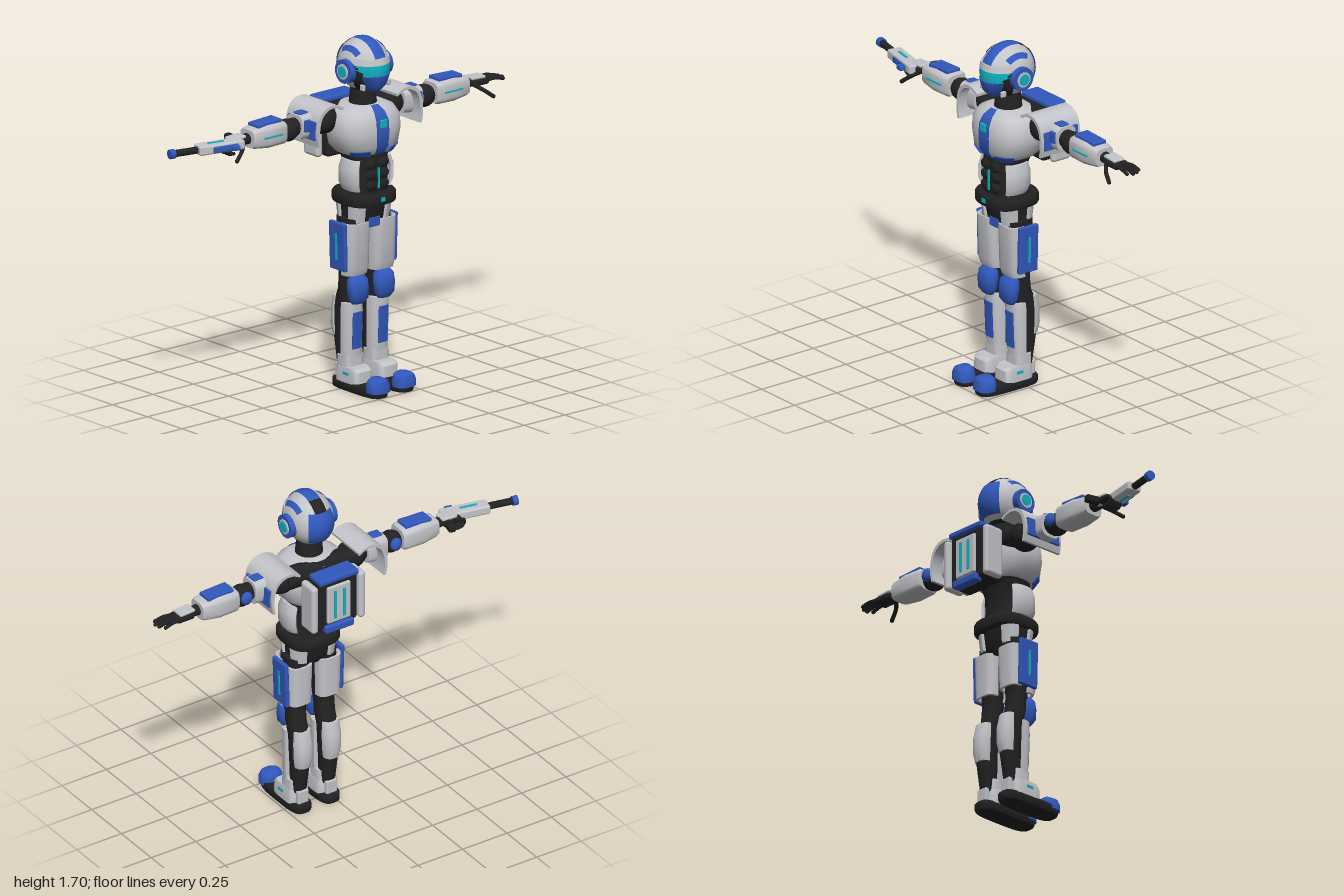
import * as THREE from 'three';
import { toCreasedNormals } from 'three/addons/utils/BufferGeometryUtils.js';
import { RoundedBoxGeometry } from 'three/addons/geometries/RoundedBoxGeometry.js';

const mat = (name, color) => new THREE.MeshStandardMaterial({ name, color, side: THREE.DoubleSide });
const WHITE = mat('armour white', 0xc4c5ca), BLUE = mat('armour blue', 0x3158bd);
const BLACK = mat('suit black', 0x222222), CYAN = mat('glow cyan', 0x0fb5c0);
const D = Math.PI / 180;

function add(parent, name, geo, material, x = 0, y = 0, z = 0) {
  const m = new THREE.Mesh(geo, material);
  m.name = name;
  m.position.set(x, y, z);
  parent.add(m);
  return m;
}
const box = (w, h, d, r = 0.006) => new RoundedBoxGeometry(w, h, d, 2, Math.min(r, w / 2.1, h / 2.1, d / 2.1));
const plate = (w, h, d) => new THREE.BoxGeometry(w, h, d);
const rod = (r, len, r2 = r) => new THREE.CylinderGeometry(r, r2, len, 24).rotateZ(Math.PI / 2);
const ball = (x, y, z) => new THREE.SphereGeometry(1, 24, 16).scale(x, y, z);

// Loft through superellipse sections [y, rx, rz, cz], bottom to top.
// With from/to (degrees, 0 = front, 90 = +x) it becomes an armour shell of thickness t.
function loft(secs, { e = 2.5, from = null, to = null, t = 0.012, grow = 0, n = 32 } = {}) {
  const pt = (s, a, d) => {
    const f = (v) => Math.sign(v) * Math.abs(v) ** (2 / e);
    return [(s[1] + d) * f(Math.sin(a)), s[0], (s[2] + d) * f(Math.cos(a)) + (s[3] || 0)];
  };
  const rings = secs.map((s) => {
    const r = [];
    if (from === null) for (let i = 0; i < n; i++) r.push(pt(s, (i / n) * 2 * Math.PI, grow));
    else {
      const m = 16, ang = (i) => (from + ((to - from) * i) / m) * D;
      for (let i = 0; i <= m; i++) r.push(pt(s, ang(i), grow));
      for (let i = m; i >= 0; i--) r.push(pt(s, ang(i), grow - t));
    }
    return r;
  });
  const pos = [], L = rings[0].length;
  const quad = (a, b, c, d) => pos.push(...a, ...b, ...c, ...a, ...c, ...d);
  for (let j = 0; j < rings.length - 1; j++)
    for (let i = 0; i < L; i++) {
      const k = (i + 1) % L;
      quad(rings[j][i], rings[j][k], rings[j + 1][k], rings[j + 1][i]);
    }
  const b = rings[0], u = rings[rings.length - 1];
  for (let i = 0; i < L / 2 - 1; i++) {
    quad(u[i], u[i + 1], u[L - 2 - i], u[L - 1 - i]);
    quad(b[L - 1 - i], b[L - 2 - i], b[i + 1], b[i]);
  }
  const g = new THREE.BufferGeometry();
  g.setAttribute('position', new THREE.Float32BufferAttribute(pos, 3));
  return toCreasedNormals(g, 0.7);
}
// The same loft laid along +x
const loftX = (secs, o) => loft(secs, o).rotateZ(-Math.PI / 2);

// Patches of the helmet ellipsoid: around the y axis, or around the x axis
const HR = [0.113, 0.13, 0.135];
const helmetPatch = (k, a0, a1, y0, y1) => {
  const t0 = Math.acos(y1), t1 = Math.acos(y0);
  return new THREE.SphereGeometry(k, 24, 10, Math.PI / 2 + a0 * D, (a1 - a0) * D, t0, t1 - t0).scale(...HR);
};
const helmetBand = (k, a0, a1, t0, t1) =>
  new THREE.SphereGeometry(k, 24, 6, Math.PI / 2 + a0 * D, (a1 - a0) * D, t0 * D, (t1 - t0) * D)
    .rotateZ(Math.PI / 2).scale(...HR);

function buildHead(g) {
  const h = new THREE.Group();
  h.name = 'head';
  h.position.set(0, 1.57, 0.015);
  g.add(h);
  add(h, 'helmet', new THREE.SphereGeometry(1, 40, 28).scale(...HR), WHITE);
  add(h, 'face', helmetPatch(1.012, -72, 72, -1, 0.22), BLACK);
  add(h, 'underside', helmetPatch(1.01, 0, 360, -1, -0.78), BLACK);
  add(h, 'brow', loft([[0.022, 0.114, 0.139], [0.052, 0.108, 0.132]], { e: 2, from: -68, to: 68 }), WHITE);
  add(h, 'visor', loft([[-0.03, 0.108, 0.138], [0, 0.113, 0.142], [0.022, 0.112, 0.139]], { e: 2, from: -64, to: 64 }), CYAN);
  add(h, 'chinGuard', loft([[-0.112, 0.045, 0.105], [-0.08, 0.08, 0.135], [-0.032, 0.11, 0.144]], { e: 2, from: -52, to: 52 }), BLUE);
  add(h, 'crest', helmetBand(1.03, 24, 112, 74, 106), BLUE);
  add(h, 'crestRear', helmetBand(1.02, 112, 150, 74, 106), BLACK);
  add(h, 'backPlate', helmetPatch(1.045, 142, 218, -0.62, 0.58), BLUE);
  for (const s of [-1, 1]) {
    add(h, 'templeArc', helmetBand(1.03, 50, 125, s < 0 ? 36 : 130, s < 0 ? 50 : 144), BLUE);
    add(h, 'earPod', rod(0.058, 0.045), BLUE, s * 0.108, -0.014, 0.005);
    add(h, 'earRing', rod(0.037, 0.02), WHITE, s * 0.126, -0.014, 0.005);
    add(h, 'earLight', rod(0.027, 0.02), CYAN, s * 0.13, -0.014, 0.005);
    add(h, 'cheek', box(0.015, 0.03, 0.03), WHITE, s * 0.078, -0.085, 0.085);
  }
  add(g, 'neck', new THREE.CylinderGeometry(0.058, 0.07, 0.12, 24), BLACK, 0, 1.41, 0.01);
}

function buildTorso(g) {
  const chest = [[1.155, 0.13, 0.115, 0.01], [1.19, 0.165, 0.136, 0.013], [1.26, 0.18, 0.142, 0.012],
    [1.32, 0.176, 0.14, 0.01], [1.36, 0.15, 0.122, 0.006], [1.385, 0.1, 0.09, 0.004]];
  add(g, 'chest', loft(chest, { n: 48 }), WHITE);
  add(g, 'chestStripe', loft(chest, { from: -7.5, to: 7.5, grow: 0.006 }), BLUE);
  add(g, 'chestLight', box(0.04, 0.04, 0.012, 0.003), CYAN, 0, 1.307, 0.158);
  for (const s of [-1, 1])
    add(g, 'chestTrim', loft([[1.15, 0.135, 0.118, 0.01], [1.178, 0.157, 0.132, 0.013]],
      { from: s > 0 ? 18 : -62, to: s > 0 ? 62 : -18, grow: 0.006 }), BLUE);
  add(g, 'shoulderYoke', rod(0.055, 0.4), BLACK, 0, 1.33, -0.07);
  add(g, 'abdomen', loft([[0.94, 0.11, 0.095, 0.02], [1.02, 0.1, 0.095, 0.028], [1.1, 0.098, 0.095, 0.025], [1.17, 0.12, 0.105, 0.01]]), BLACK);
  for (const s of [-1, 1]) {
    for (let i = 0; i < 3; i++) add(g, 'abdominalPad', ball(0.032, 0.025, 0.014), BLACK, s * 0.037, 1.0 + i * 0.052, 0.115);
    add(g, 'waistPlate', loft([[0.975, 0.118, 0.09, 0.033], [1.01, 0.134, 0.1, 0.033], [1.08, 0.134, 0.1, 0.033], [1.125, 0.118, 0.09, 0.033]],
      { from: s * 90 - 42, to: s * 90 + 42 }), WHITE);
    // Hip armour, front and rear
    const hip = [[0.82, 0.122, 0.088, 0.015], [0.905, 0.13, 0.1, 0.017]];
    for (const c of [50, 130]) add(g, 'hipPlate', loft(hip, { e: 3, from: s * c - 28, to: s * c + 28 }), WHITE);
  }
  add(g, 'abdomenLight', plate(0.008, 0.1, 0.008), CYAN, 0, 1.035, 0.126);
  add(g, 'belt', loft([[0.905, 0.132, 0.128, 0.018], [0.915, 0.137, 0.132, 0.018], [0.95, 0.137, 0.132, 0.018], [0.962, 0.13, 0.126, 0.018]], { e: 3 }), BLACK);
  add(g, 'buckle', box(0.06, 0.04, 0.015), BLACK, 0, 0.937, 0.148);
  add(g, 'buckleLight', plate(0.026, 0.02, 0.008), CYAN, 0, 0.937, 0.155);
  add(g, 'pelvis', loft([[0.79, 0.06, 0.06, 0.015], [0.83, 0.11, 0.08, 0.015], [0.91, 0.115, 0.09, 0.015]]), BLACK);
  add(g, 'groinPlate', box(0.07, 0.05, 0.03), BLUE, 0, 0.815, 0.082);
}

function buildBackpack(g) {
  const p = new THREE.Group();
  p.name = 'backpack';
  p.position.set(0, 1.23, 0);
  g.add(p);
  add(p, 'packCore', box(0.22, 0.26, 0.125, 0.015), BLACK, 0, 0, -0.173);
  add(p, 'packPanel', box(0.13, 0.2, 0.02, 0.008), WHITE, 0, 0, -0.238);
  add(p, 'packTop', box(0.22, 0.03, 0.1, 0.01), BLUE, 0, 0.135, -0.2);
  add(p, 'packBottom', box(0.16, 0.04, 0.048, 0.01), BLUE, 0, -0.128, -0.232);
  for (const s of [-1, 1]) {
    add(p, 'packPod', box(0.038, 0.255, 0.108, 0.018), WHITE, s * 0.132, -0.005, -0.194);
    add(p, 'packLight', plate(0.014, 0.15, 0.008), CYAN, s * 0.025, 0, -0.25);
  }
}

function buildLeg(side) {
  const g = new THREE.Group();
  g.name = 'leg';
  const l = (name, m, secs, o) => add(g, name, loft(secs, o), m, 0.08);
  l('thigh', BLACK, [[0.54, 0.048, 0.046, 0.008], [0.7, 0.055, 0.06, 0.015], [0.84, 0.056, 0.07, 0.015]]);
  l('thighFrontPlate', WHITE, [[0.565, 0.066, 0.07, 0.012], [0.6, 0.069, 0.08, 0.014], [0.82, 0.07, 0.088, 0.014]], { e: 3.5, from: -88, to: 88 });
  l('thighBackPlate', WHITE, [[0.59, 0.062, 0.075, 0.01], [0.8, 0.066, 0.083, 0.012]], { e: 3.5, from: 98, to: 262 });
  add(g, 'thighSidePlate', box(0.022, 0.235, 0.11), BLUE, 0.154, 0.707, 0.014).rotation.z = -0.03;
  add(g, 'thighLight', plate(0.006, 0.13, 0.012), CYAN, 0.166, 0.705, 0.013).rotation.z = -0.03;
  l('kneeGuard', BLUE, [[0.425, 0.035, 0.018, 0.068], [0.45, 0.052, 0.034, 0.07], [0.5, 0.056, 0.038, 0.068], [0.54, 0.052, 0.036, 0.064], [0.56, 0.036, 0.02, 0.06]]);
  l('lowerLeg', BLACK, [[0.1, 0.036, 0.035, -0.02], [0.25, 0.042, 0.05, -0.03], [0.4, 0.045, 0.055, -0.025], [0.48, 0.048, 0.045, 0], [0.57, 0.047, 0.045, 0.008]]);
  const shin = [[0.16, 0.052, 0.055, 0], [0.2, 0.054, 0.058, 0], [0.38, 0.055, 0.066, 0], [0.425, 0.052, 0.066, 0]];
  l('shinPlate', WHITE, shin, { e: 3, from: -88, to: 88, t: 0.018 });
  l('shinStripe', BLUE, shin.slice(1, 3), { e: 3, from: -20, to: 20, grow: 0.005, t: 0.009 });
  l('calfPlate', WHITE, [[0.25, 0.042, 0.058, -0.03], [0.3, 0.05, 0.07, -0.03], [0.38, 0.052, 0.066, -0.03], [0.445, 0.046, 0.05, -0.03]], { from: 105, to: 255 });
  l('ankleCuff', WHITE, [[0.09, 0.052, 0.046, 0.01], [0.165, 0.05, 0.044, 0.01]], { e: 5 });
  l('boot', WHITE, [[0.04, 0.056, 0.082, 0.04], [0.1, 0.055, 0.08, 0.04], [0.115, 0.052, 0.07, 0.035]], { e: 5 });
  add(g, 'heelBlock', box(0.06, 0.07, 0.025), WHITE, 0.08, 0.08, -0.053);
  add(g, 'bootLight', plate(0.005, 0.013, 0.038), CYAN, 0.136, 0.085, 0.045);
  l('sole', BLACK, [[0, 0.053, 0.164, 0.083], [0.008, 0.057, 0.168, 0.083], [0.038, 0.057, 0.168, 0.083], [0.046, 0.052, 0.162, 0.083]], { e: 3.5 });
  l('toeCap', BLUE, [[0.025, 0.057, 0.048, 0.212], [0.055, 0.057, 0.048, 0.212], [0.08, 0.047, 0.042, 0.21], [0.092, 0.025, 0.025, 0.205]]);
  g.scale.x = side;
  return g;
}

function buildArm(side) {
  const g = new THREE.Group();
  g.name = 'arm';
  g.position.set(0, 1.322, -0.045);
  const a = (name, m, secs, o) => add(g, name, loftX(secs, o), m);
  // Arched shoulder pad, open below
  const outer = [[0.165, 0.076], [0.21, 0.097], [0.26, 0.095], [0.3, 0.068], [0.32, 0.02], [0.325, -0.04], [0.317, -0.092]];
  const curve = new THREE.SplineCurve(outer.map((p) => new THREE.Vector2(...p))).getPoints(24);
  const inner = curve.map((p) => new THREE.Vector2(0.18 + (p.x - 0.18) * 0.9, -0.09 + (p.y + 0.09) * 0.92)).reverse();
  const pad = new THREE.ExtrudeGeometry(new THREE.Shape([...curve, ...inner]), { depth: 0.23, bevelEnabled: false });
  add(g, 'shoulderPad', toCreasedNormals(pad, 0.7), WHITE, 0, 0, -0.12);
  add(g, 'shoulderPadPlate', box(0.012, 0.09, 0.2, 0.004), BLUE, 0.324, -0.014, -0.005).rotation.z = 0.06;
  add(g, 'shoulderJoint', ball(0.075, 0.068, 0.068), BLACK, 0.2);
  a('upperArm', BLACK, [[0.15, 0.045, 0.045], [0.4, 0.043, 0.043]], { e: 2 });
  a('upperArmPlate', WHITE, [[0.26, 0.056, 0.056], [0.3, 0.062, 0.06], [0.372, 0.058, 0.056]], { e: 3.5 });
  add(g, 'upperArmTopPlate', box(0.055, 0.012, 0.05), BLUE, 0.335, 0.061, 0);
  add(g, 'upperArmFrontPlate', box(0.035, 0.06, 0.012), BLUE, 0.345, 0.01, 0.058);
  add(g, 'elbow', ball(0.06, 0.055, 0.052), BLACK, 0.42, -0.008, 0);
  add(g, 'elbowGuard', ball(0.03, 0.034, 0.02), BLUE, 0.42, 0, -0.05);
  a('forearm', WHITE, [[0.462, 0.05, 0.054], [0.475, 0.056, 0.061], [0.57, 0.058, 0.063], [0.65, 0.048, 0.055], [0.665, 0.043, 0.05]], { e: 4 });
  add(g, 'forearmTopPlate', box(0.145, 0.02, 0.076), BLUE, 0.557, 0.059, 0).rotation.z = -0.04;
  add(g, 'forearmLight', plate(0.11, 0.008, 0.006), CYAN, 0.555, 0.002, 0.064);
  a('wrist', BLACK, [[0.65, 0.028, 0.03], [0.72, 0.022, 0.026]], { e: 2 });
  // Hand: the left is open, the right closes around a grip
  const hand = new THREE.Group();
  hand.name = 'hand';
  g.add(hand);
  add(hand, 'palm', box(0.1, 0.035, 0.078, 0.014), BLACK, 0.75, -0.002, 0);
  add(hand, 'handPlate', box(0.085, 0.016, 0.064, 0.007), WHITE, 0.738, 0.02, 0).rotation.z = -0.06;
  const tube = (name, pts, r) => add(hand, name, new THREE.TubeGeometry(
    new THREE.CatmullRomCurve3(pts.map((p) => new THREE.Vector3(...p))), 10, r, 8), BLACK);
  [0.085, 0.1, 0.095, 0.075].forEach((len, i) => {
    const z = 0.03 - i * 0.021, open = side > 0;
    const pts = open ? [[0.785, 0, z * 0.95], [0.795 + len * 0.5, 0.002, z * 1.1], [0.795 + len, -0.008, z * 1.2]]
      : [[0.785, 0, z], [0.815, -0.014, z], [0.805, -0.04, z], [0.775, -0.045, z]];
    tube('finger', pts, 0.009);
    add(hand, 'fingertip', ball(0.009, 0.009, 0.009), BLACK, ...pts[pts.length - 1]);
  });
  tube('thumb', [[0.71, -0.01, 0.025], [0.745, -0.035, 0.055], [0.79, -0.07, 0.072]], 0.01);
  add(hand, 'thumbTip', ball(0.01, 0.01, 0.01), BLACK, 0.79, -0.07, 0.072);
  g.scale.x = side;
  return g;
}

function buildBlaster() {
  const g = new THREE.Group();
  g.name = 'blaster';
  g.position.set(-0.74, 1.322, -0.035);
  g.rotation.y = -0.21;
  add(g, 'blasterBody', box(0.24, 0.046, 0.072, 0.01), WHITE);
  add(g, 'blasterBarrel', rod(0.017, 0.15), BLACK, -0.185, 0, 0);
  add(g, 'blasterMuzzle', rod(0.023, 0.026), BLUE, -0.253, 0, 0);
  add(g, 'blasterSidePlate', box(0.13, 0.03, 0.012), BLUE, 0.015, -0.002, 0.037);
  add(g, 'blasterSight', box(0.04, 0.024, 0.03), BLUE, 0.06, -0.002, 0.05);
  for (const s of [-1, 1]) add(g, 'blasterLight', plate(0.085, 0.006, 0.012), CYAN, -0.02, s * 0.024, 0);
  add(g, 'blasterGrip', box(0.036, 0.036, 0.11, 0.01), BLACK, 0.11, 0, -0.075);
  add(g, 'gripCap', box(0.044, 0.04, 0.03, 0.008), WHITE, 0.11, 0, -0.05);
  return g;
}

export function createModel() {
  const model = new THREE.Group();
  model.name = 'armouredFigure';
  const body = new THREE.Group();
  body.name = 'body';
  body.position.x = 0.105;
  model.add(body);
  buildHead(body);
  buildTorso(body);
  buildBackpack(body);
  for (const s of [-1, 1]) body.add(buildLeg(s), buildArm(s));
  model.add(buildBlaster());
  return model;
}
